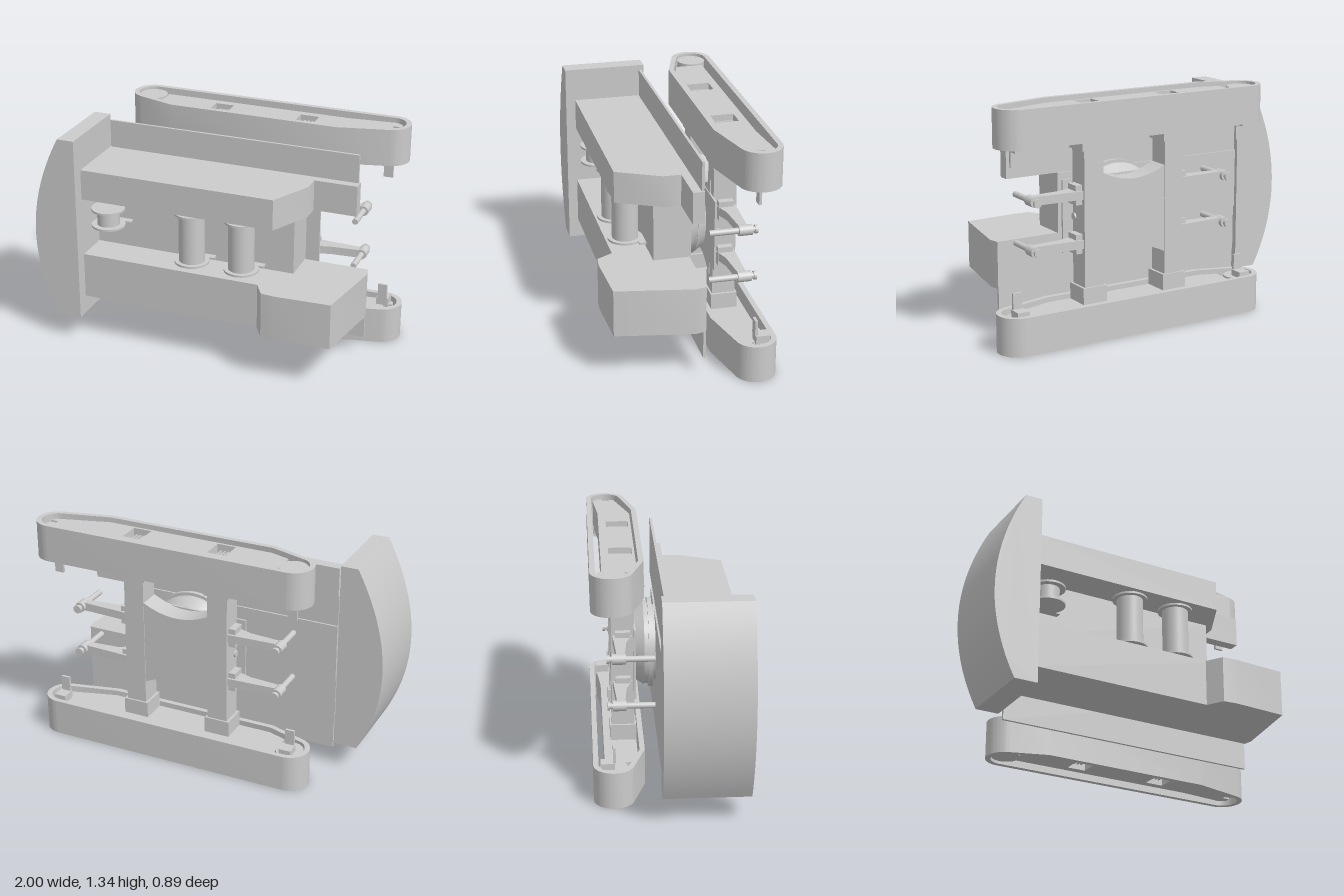
import * as THREE from 'three';
import { toCreasedNormals } from 'three/addons/utils/BufferGeometryUtils.js';

const material = new THREE.MeshStandardMaterial({ color: 0xcccccc });
const MID = 0.667; // mirror height between the two tracks
const CX = 0.14;   // slewing axis

export function createModel() {
  const model = new THREE.Group();
  model.name = 'crawlerBase';

  const add = (name, geo, parent = model) => {
    const mesh = new THREE.Mesh(geo, material);
    mesh.name = name;
    parent.add(mesh);
    return mesh;
  };
  // box given by its limits
  const box = (name, x0, x1, y0, y1, z0, z1, parent) =>
    add(name, new THREE.BoxGeometry(x1 - x0, y1 - y0, z1 - z0)
      .translate((x0 + x1) / 2, (y0 + y1) / 2, (z0 + z1) / 2), parent);
  // shapes for vertical prisms are drawn in (x, -z)
  const plan = (pts) => new THREE.Shape(pts.map(([x, z]) => new THREE.Vector2(x, -z)));
  const prismY = (name, shape, y0, y1, parent) =>
    add(name, toCreasedNormals(new THREE.ExtrudeGeometry(shape, { depth: y1 - y0, bevelEnabled: false, curveSegments: 20 })
      .rotateX(-Math.PI / 2).translate(0, y0, 0), 0.5), parent);
  const prismZ = (name, shape, z0, z1, parent) =>
    add(name, toCreasedNormals(new THREE.ExtrudeGeometry(shape, { depth: z1 - z0, bevelEnabled: false, curveSegments: 20 })
      .translate(0, 0, z0), 0.5), parent);
  const cylY = (name, r, x, z, y0, y1, parent) =>
    add(name, new THREE.CylinderGeometry(r, r, y1 - y0, 40).translate(x, (y0 + y1) / 2, z), parent);
  const cylZ = (name, r, x, y, z0, z1, parent, seg = 20) =>
    add(name, new THREE.CylinderGeometry(r, r, z1 - z0, seg).rotateX(Math.PI / 2).translate(x, y, (z0 + z1) / 2), parent);

  // closed outline of the track belt, inset by d
  const beltOutline = (d) => {
    const s = new THREE.Shape();
    s.absarc(-0.565, 0.335, 0.115 - d, Math.PI / 2, Math.PI * 1.42, false);
    s.lineTo(-0.38, 0.155 + d);
    s.lineTo(0.62, 0.155 + d);
    s.absarc(0.885, 0.335, 0.115 - d, -Math.PI * 0.42, Math.PI / 2, false);
    s.closePath();
    return s;
  };

  // tracks
  const beamX = [-0.115, 0.405];
  for (const [side, y0] of [['lower', 0], ['upper', 1.12]]) {
    const track = new THREE.Group();
    track.name = side + 'Track';
    model.add(track);
    const y1 = y0 + 0.215;
    const belt = beltOutline(0);
    belt.holes.push(beltOutline(0.03));
    prismY('trackBelt', belt, y0, y1, track);

    // side frame with two pockets
    const frame = plan([[-0.49, -0.385], [0.63, -0.385], [0.9, -0.41], [0.94, -0.385], [0.94, -0.35],
      [0.895, -0.35], [0.895, -0.31], [0.94, -0.31], [0.92, -0.28], [0.62, -0.195], [-0.38, -0.195], [-0.49, -0.23]]);
    for (const x of beamX) {
      frame.holes.push(new THREE.Path([[-0.055, 0.21], [0.055, 0.21], [0.055, 0.34], [-0.055, 0.34]]
        .map(([dx, s]) => new THREE.Vector2(x + dx, s))));
      box('pocketFloor', x - 0.055, x + 0.055, y0 + 0.09, y0 + 0.125, -0.34, -0.21, track);
      for (const dx of [-0.022, 0, 0.022])
        box('pocketRib', x + dx - 0.004, x + dx + 0.004, y0 + 0.05, y0 + 0.165, -0.33, -0.23, track);
    }
    prismY('sideFrame', frame, y0 + 0.025, y1 - 0.025, track);
    cylY('driveWheel', 0.08, -0.565, -0.335, y0 + 0.015, y1 - 0.015, track);
    cylY('idlerWheel', 0.06, 0.89, -0.335, y0 + 0.035, y1 - 0.035, track);

    // lugs on the inner side of each track
    const s = side === 'lower' ? 1 : -1;
    const inner = side === 'lower' ? y1 : y0;
    const span = (a, b) => [inner + s * a, inner + s * b].sort((p, q) => p - q);
    for (const x of [-0.565, 0.885]) {
      box('lug', x - 0.027, x + 0.027, ...span(0.02, 0.11), -0.34, -0.325, track);
      box('lugFoot', x - 0.035, x + 0.035, ...span(-0.04, 0.02), -0.41, -0.33, track);
    }
    for (const x of beamX) box('beamCollar', x - 0.075, x + 0.075, ...span(-0.03, 0.068), -0.345, -0.195, track);
  }

  // car body: two cross beams and a waisted centre block
  for (const x of beamX) box('crossBeam', x - 0.06, x + 0.06, 0.2, 1.14, -0.335, -0.205);
  const centre = new THREE.Shape();
  centre.moveTo(beamX[0], 0.38);
  centre.quadraticCurveTo(CX, 0.56, beamX[1], 0.38);
  centre.lineTo(beamX[1], 0.954);
  centre.quadraticCurveTo(CX, 0.774, beamX[0], 0.954);
  prismZ('centreBlock', centre, -0.33, -0.2);
  const neck = new THREE.CylinderGeometry(0.25, 0.21, 0.06, 40).rotateX(Math.PI / 2).translate(CX, MID, -0.17);
  add('ringNeck', neck);
  box('topPlate', -0.23, 0.53, 0.46, 0.875, -0.207, -0.195);

  // slewing ring
  cylZ('ringLower', 0.245, CX, MID, -0.145, -0.115, model, 48);
  cylZ('ringUpper', 0.263, CX, MID, -0.115, -0.09, model, 48);
  cylZ('ringCore', 0.22, CX, MID, -0.1, -0.06, model, 48);

  // four support arms with jacks
  for (const dir of [1, -1]) {
    const root = dir > 0 ? beamX[1] + 0.05 : beamX[0] - 0.05;
    const tip = root + dir * 0.31;
    add('beamBoss', new THREE.CylinderGeometry(0.02, 0.02, 0.02, 20).rotateZ(Math.PI / 2)
      .translate(root + dir * 0.01, MID, -0.225));
    for (const side of [1, -1]) {
      const y = MID + side * 0.138;
      const arm = new THREE.Group();
      arm.name = 'supportArm';
      model.add(arm);
      prismY('armBeam', plan([[root, -0.325], [tip, -0.31], [tip, -0.265], [root + dir * 0.12, -0.25], [root, -0.21]]),
        y - 0.024, y + 0.024, arm);
      box('armKnuckle', root + dir * 0.025 - 0.025, root + dir * 0.025 + 0.025, y - 0.055, y + 0.055, -0.31, -0.225, arm);
      cylZ('jackSleeve', 0.03, tip, y, -0.335, -0.26, arm);
      cylZ('jackRod', 0.017, tip, y, -0.35, -0.1, arm);
      cylZ('jackFoot', 0.024, tip, y, -0.365, -0.35, arm);
    }
  }

  // upper structure: deck, frame, housings and cab
  box('upperDeck', -0.72, 0.79, 0.885, 1.23, -0.065, -0.05);
  box('lowerDeck', -0.72, 0.86, 0.11, 0.54, -0.065, -0.05);
  box('mainFrame', -0.725, 0.487, 0.54, 0.885, -0.075, 0.14);
  prismY('upperHousing', plan([[-0.725, -0.065], [0.8, -0.065], [0.8, 0], [0.55, 0], [0.55, 0.1], [0.43, 0.345], [-0.725, 0.345]]),
    0.885, 1.065);
  box('lowerHousing', -0.725, 0.4, 0.27, 0.54, -0.065, 0.345);
  prismY('cab', plan([[0.345, -0.065], [0.862, -0.065], [0.875, 0], [0.8, 0.43], [0.48, 0.445], [0.4, 0.437], [0.345, 0.345]]),
    0.27, 0.54);

  // winches
  const winch = (name, x, y0, y1, rDrum, rFlange) => {
    const g = new THREE.Group();
    g.name = name;
    model.add(g);
    cylY('drum', rDrum, x, 0.24, y0, y1, g);
    for (const y of [y0, y1 - 0.012]) {
      cylY('flange', rFlange, x, 0.24, y, y + 0.012, g);
      box('flangeTab', x, x + rFlange + 0.01, y, y + 0.012, 0.14, 0.18, g);
    }
  };
  winch('rearWinch', -0.61, 0.7, 0.812, 0.065, 0.098);
  winch('middleWinch', -0.09, 0.56, 0.872, 0.075, 0.1);
  winch('frontWinch', 0.21, 0.56, 0.872, 0.075, 0.1);

  // counterweight with a bowed rear face
  const weight = new THREE.Shape();
  weight.moveTo(-0.735, 0.15);
  weight.lineTo(-0.735, 1.255);
  weight.lineTo(-0.835, 1.255);
  weight.quadraticCurveTo(-1.149, 0.67, -0.87, 0.15);
  weight.closePath();
  prismZ('counterweight', weight, -0.083, 0.4);

  return model;
}
